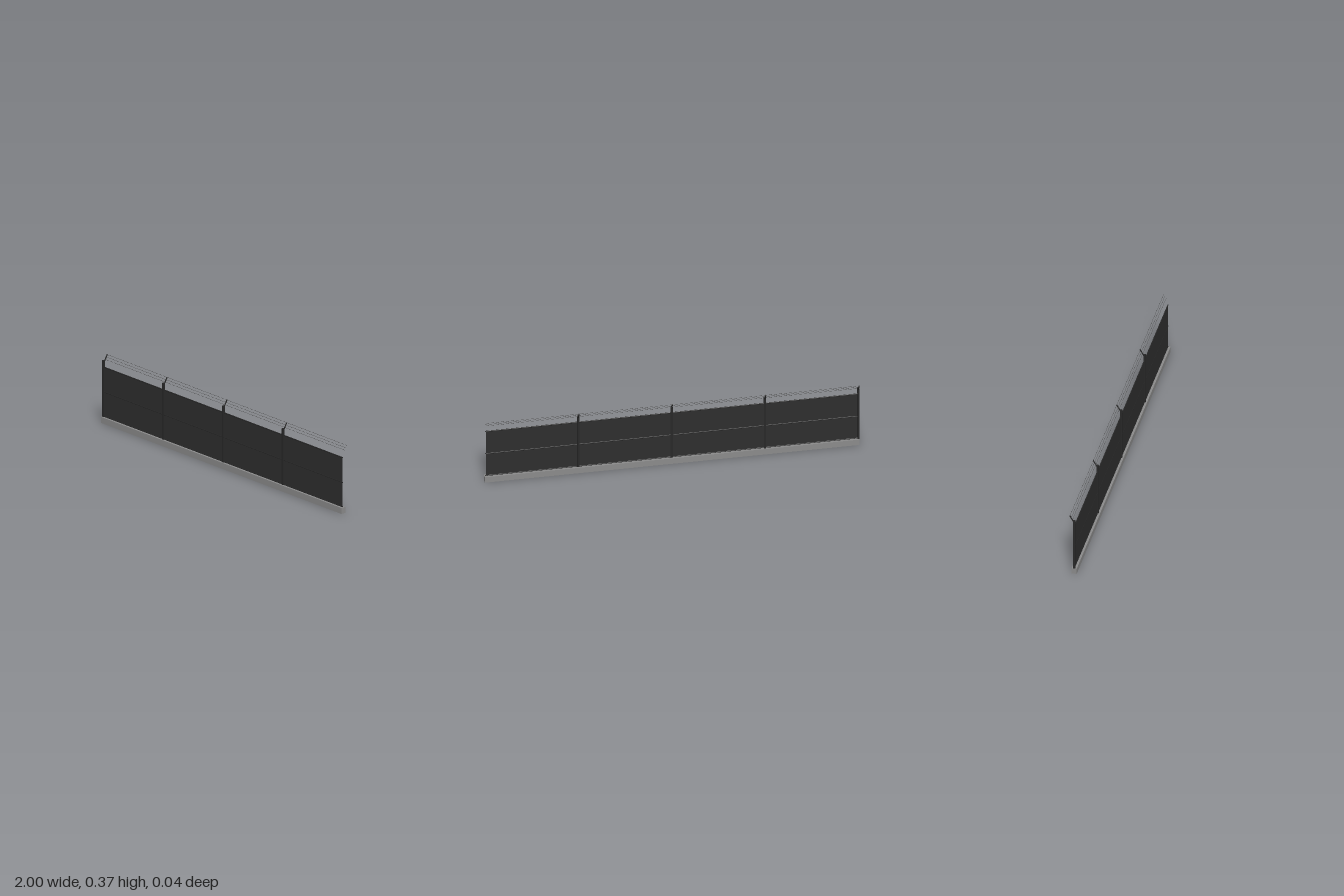
import * as THREE from 'three';

const material = (name, color) => {
  const m = new THREE.MeshStandardMaterial({ color });
  m.name = name;
  return m;
};

export function createModel() {
  const fence = new THREE.Group();
  fence.name = 'fence';
  const concrete = material('concrete grey', 0x8a8a8a);
  const panelDark = material('panel charcoal', 0x2e2e2e);
  const steel = material('steel black', 0x272727);
  const wireGrey = material('wire grey', 0x4a4a4a);
  const Z = 0.0075; // centre plane of the wall

  const add = (name, geometry, mat, x, y, z) => {
    const mesh = new THREE.Mesh(geometry, mat);
    mesh.name = name;
    mesh.position.set(x, y, z);
    fence.add(mesh);
    return mesh;
  };

  // Concrete footing
  add('footing', new THREE.BoxGeometry(2, 0.033, 0.027), concrete, 0, 0.0165, Z);

  // Thin infill panel
  add('panel', new THREE.BoxGeometry(1.985, 0.274, 0.002), panelDark, -0.0025, 0.17, Z);

  // Horizontal rails at the bottom, middle and top of the panel
  const railGeometry = new THREE.CylinderGeometry(0.003, 0.003, 1.99, 8).rotateZ(Math.PI / 2);
  for (const y of [0.036, 0.17, 0.306]) add('rail', railGeometry, steel, 0, y, Z);

  // Posts, each with an arm leaning to the back
  const armStart = new THREE.Vector3(0, 0.335, 0.003);
  const armEnd = new THREE.Vector3(0, 0.371, -0.0175);
  const armVector = armEnd.clone().sub(armStart);
  const armMiddle = armStart.clone().lerp(armEnd, 0.5);
  const postGeometry = new THREE.BoxGeometry(0.011, 0.312, 0.012);
  const armGeometry = new THREE.BoxGeometry(0.005, armVector.length(), 0.004);
  for (let i = 0; i < 4; i++) {
    const x = -0.9945 + i * 0.498;
    add('post', postGeometry, steel, x, 0.187, Z);
    const arm = add('arm', armGeometry, steel, x, armMiddle.y, armMiddle.z);
    arm.rotation.x = Math.atan2(armVector.z, armVector.y);
  }

  // Three wires strung along the arms
  const wireGeometry = new THREE.CylinderGeometry(0.0007, 0.0007, 2, 6).rotateZ(Math.PI / 2);
  for (const t of [0.3, 0.63, 0.96]) {
    const p = armStart.clone().lerp(armEnd, t);
    add('wire', wireGeometry, wireGrey, 0, p.y, p.z);
  }
  return fence;
}
